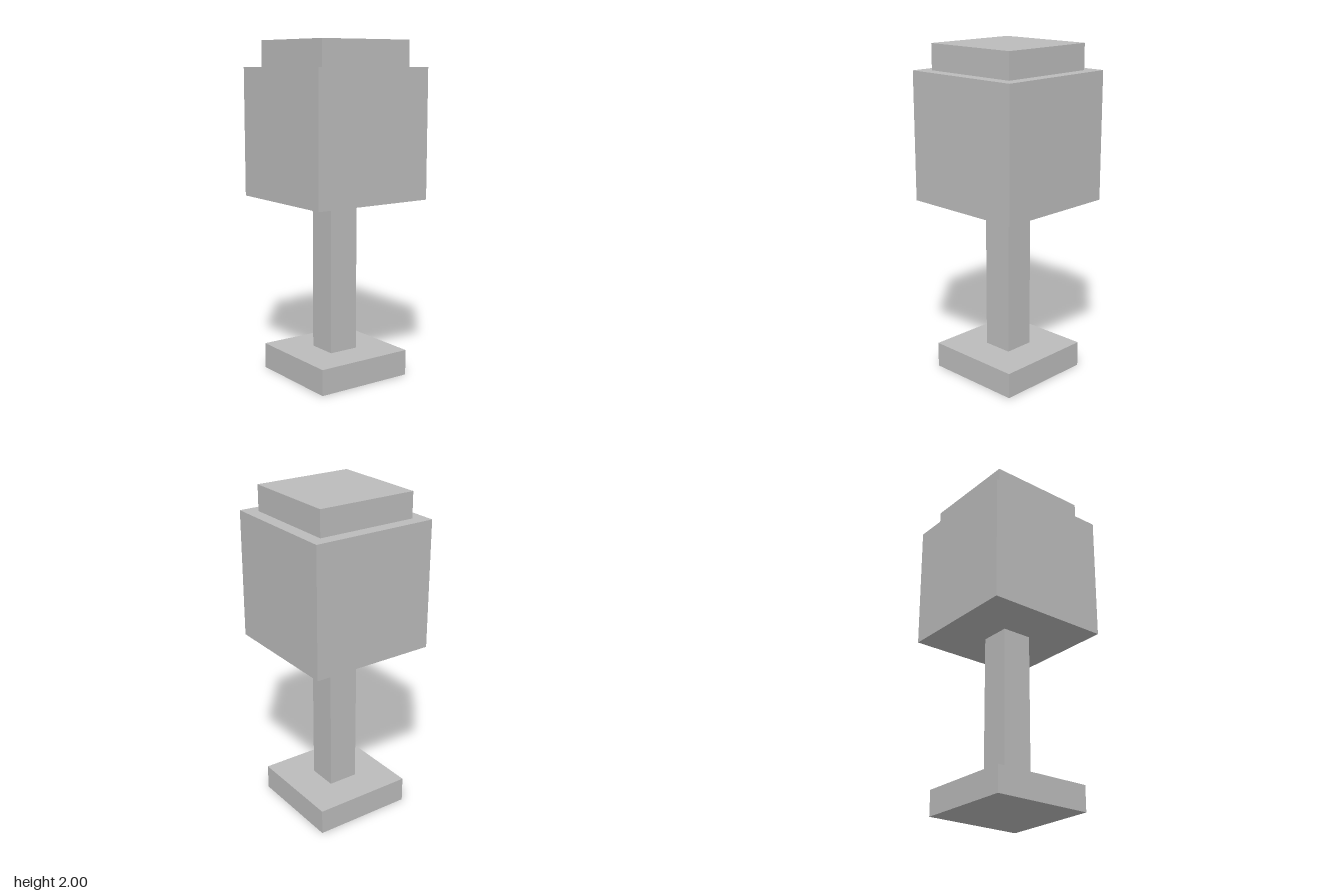
import * as THREE from 'three';

export function createModel() {
  const model = new THREE.Group();
  model.name = 'squarePost';

  const grey = new THREE.MeshStandardMaterial({ color: 0xbcbcbc });
  grey.name = 'grey';

  // Square block centred on the axis, from bottom to top
  function addBlock(name, width, bottom, top) {
    const height = top - bottom;
    const block = new THREE.Mesh(new THREE.BoxGeometry(width, height, width), grey);
    block.name = name;
    block.position.y = bottom + height / 2;
    model.add(block);
  }

  // Stacked blocks, foot to cap
  addBlock('base', 0.615, 0, 0.154);
  addBlock('post', 0.187, 0.154, 1.077);
  addBlock('head', 0.769, 1.077, 1.846);
  addBlock('cap', 0.615, 1.846, 2);

  return model;
}
